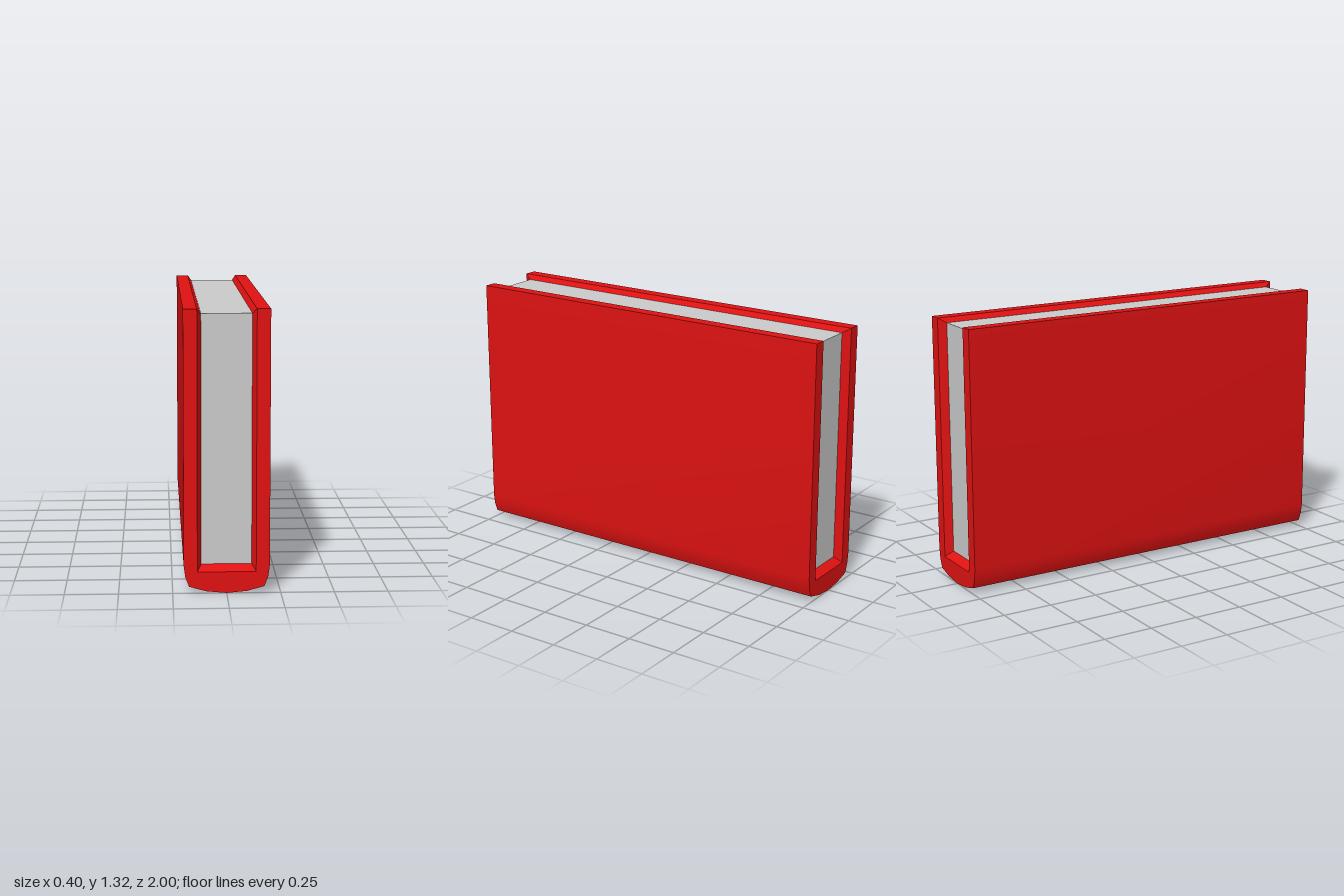
import * as THREE from 'three';
import { toCreasedNormals } from 'three/addons/utils/BufferGeometryUtils.js';

const LENGTH = 2, TOP = 1.317, PAGE_TOP = 1.293, PAGE_X = 0.117, PAGE_Y = 0.129, PAGE_Z = 0.96;

// Half profiles from the top edge down to the middle of the spine, matched point by point
const OUTER = [[0.199, TOP], [0.199, 0.13], [0.192, 0.078], [0.174, 0.031], [0.094, 0.009], [0, 0]];
const MOUTH = [[0.136, TOP], [0.136, 0.16], [0.136, 0.13], [0.136, 0.101], [0.08, 0.101], [0, 0.101]];
const INNER = [[PAGE_X, PAGE_TOP], [PAGE_X, 0.18], [PAGE_X, 0.15], [PAGE_X, PAGE_Y], [0.07, PAGE_Y], [0, PAGE_Y]];

// Mirrors a half profile into a full U at depth z
function fullRow(half, z) {
  const left = half.map(([x, y]) => [x, y, z]);
  const right = half.slice(0, -1).reverse().map(([x, y]) => [-x, y, z]);
  return [...left, ...right];
}

function coverGeometry() {
  const end = LENGTH / 2;
  // Back bevel, back face, outer shell, front face, front bevel
  const rows = [
    fullRow(INNER, -PAGE_Z), fullRow(MOUTH, -end), fullRow(OUTER, -end),
    fullRow(OUTER, end), fullRow(MOUTH, end), fullRow(INNER, PAGE_Z),
  ];
  const positions = [];
  const quad = (a, b, c, d) => positions.push(...a, ...b, ...c, ...a, ...c, ...d);

  const last = rows[0].length - 1;
  for (let j = 0; j < rows.length - 1; j++) {
    for (let i = 0; i < last; i++) {
      quad(rows[j][i], rows[j + 1][i], rows[j + 1][i + 1], rows[j][i + 1]);
    }
  }

  // Top rims and the bevels leading down to the pages
  for (const [back, front, innerBack, innerFront] of [[2, 3, 1, 4], [1, 4, 0, 5]]) {
    quad(rows[back][0], rows[innerBack][0], rows[innerFront][0], rows[front][0]);
    quad(rows[back][last], rows[front][last], rows[innerFront][last], rows[innerBack][last]);
  }

  const geometry = new THREE.BufferGeometry();
  geometry.setAttribute('position', new THREE.Float32BufferAttribute(positions, 3));
  return toCreasedNormals(geometry, 0.5);
}

export function createModel() {
  const book = new THREE.Group();
  book.name = 'book';

  // Cover with rounded spine
  const cover = new THREE.Mesh(coverGeometry(), new THREE.MeshStandardMaterial({ color: 0xe01212 }));
  cover.name = 'cover';

  // Page block
  const pages = new THREE.Mesh(
    new THREE.BoxGeometry(PAGE_X * 2, PAGE_TOP - PAGE_Y, PAGE_Z * 2),
    new THREE.MeshStandardMaterial({ color: 0xcccccc }),
  );
  pages.name = 'pages';
  pages.position.y = (PAGE_TOP + PAGE_Y) / 2;

  book.add(cover, pages);
  return book;
}
